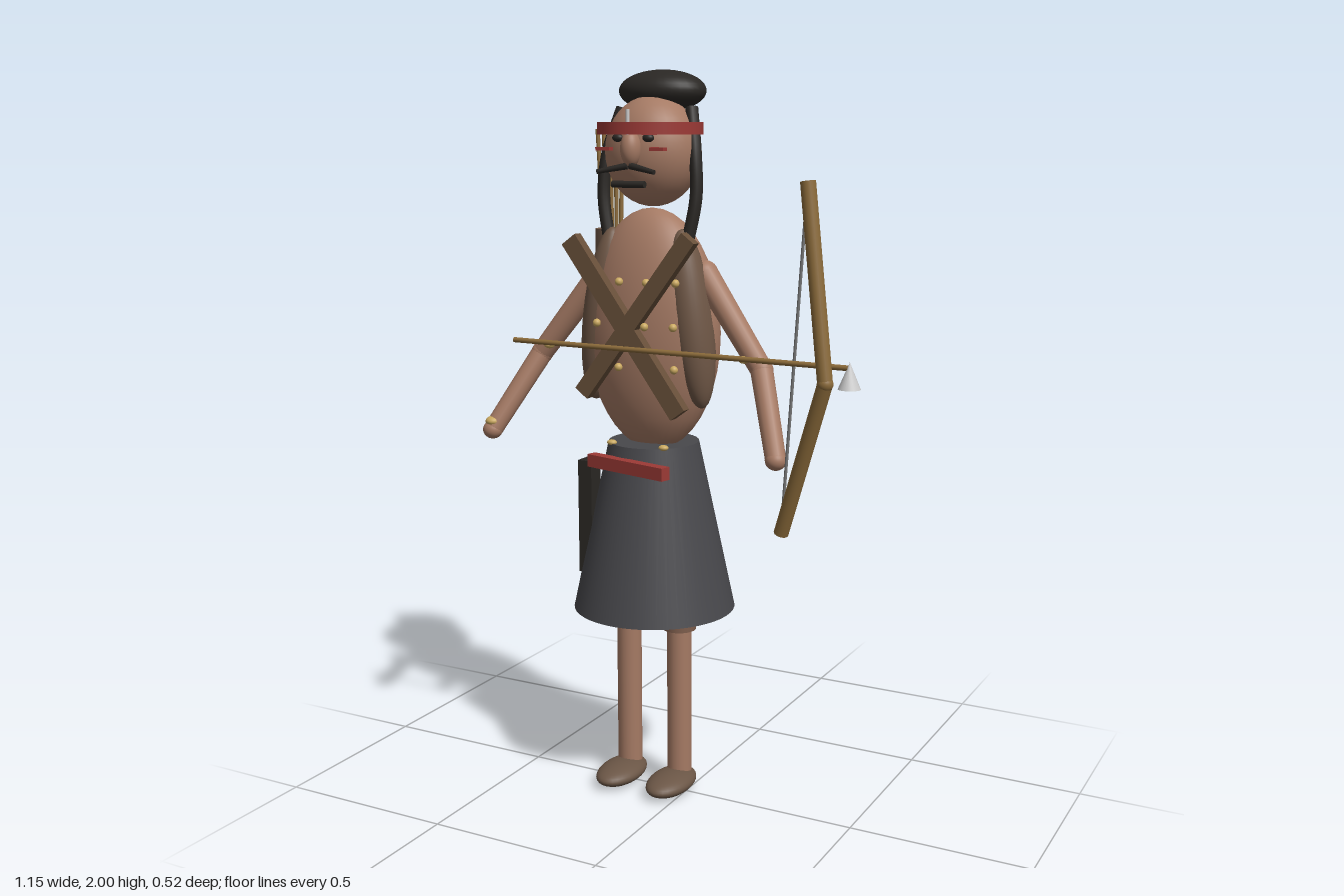
import * as THREE from 'three';

const C = {
  skin: 0xa57a64, knee: 0x7d5d4c, shoe: 0x6b5646, skirt: 0x48484c, red: 0x9c3a36, black: 0x2a2724,
  leather: 0x6f5746, belt: 0x69503a, wood: 0x8a6a3a, gold: 0xc9a860, steel: 0xcccccc, string: 0x777777,
};
const mats = {};
const mat = (c) => (mats[c] ??= new THREE.MeshStandardMaterial({ color: C[c] }));
const V = (p) => new THREE.Vector3(...p);

export function createModel() {
  const root = new THREE.Group();
  // The figure stands off-centre because the bow reaches out to its left
  const body = new THREE.Group();
  body.name = 'figure';
  body.position.x = -0.117;
  root.add(body);

  const add = (parent, name, geo, color, pos = [0, 0, 0], rot = [0, 0, 0]) => {
    const m = new THREE.Mesh(geo, mat(color));
    m.name = name;
    m.position.set(...pos);
    m.rotation.set(...rot);
    parent.add(m);
    return m;
  };
  const ball = (parent, name, color, pos, r, rot) =>
    add(parent, name, new THREE.SphereGeometry(1, 32, 20).scale(...r), color, pos, rot);
  const box = (parent, name, color, size, pos, rot) =>
    add(parent, name, new THREE.BoxGeometry(...size), color, pos, rot);
  // Round rod between two points
  const rod = (parent, name, color, a, b, r0, r1 = r0) => {
    const d = V(b).sub(V(a));
    const m = add(parent, name, new THREE.CylinderGeometry(r1, r0, d.length(), 20), color);
    m.position.copy(V(a)).addScaledVector(d, 0.5);
    m.quaternion.setFromUnitVectors(V([0, 1, 0]), d.normalize());
    return m;
  };

  // Torso and skirt
  ball(body, 'torso', 'skin', [0, 1.31, -0.03], [0.198, 0.33, 0.12]);
  add(body, 'skirt', new THREE.CylinderGeometry(0.125, 0.226, 0.475, 48), 'skirt', [0, 0.767, -0.032]);
  box(body, 'sash', 'red', [0.275, 0.035, 0.03], [0, 0.958, 0.115], [0, -0.24, 0]);
  box(body, 'sheath', 'black', [0.042, 0.32, 0.05], [-0.16, 0.79, 0.05]);

  // Crossed chest straps
  box(body, 'chestStrap', 'belt', [0.05, 0.555, 0.03], [-0.012, 1.335, 0.102], [0, 0, 0.63]);
  box(body, 'chestStrap', 'belt', [0.045, 0.535, 0.03], [0.02, 1.36, 0.102], [0, 0, -0.65]);

  // Chest buttons
  for (const y of [1.45, 1.335, 1.222])
    for (const x of [-0.116, -0.041, 0.041, 0.116]) {
      const z = 0.12 * Math.sqrt(1 - (x / 0.198) ** 2 - ((y - 1.31) / 0.33) ** 2) - 0.03;
      ball(body, 'button', 'gold', [x, y, z + 0.006], [0.011, 0.011, 0.011]);
    }

  // Head and face
  ball(body, 'head', 'skin', [0, 1.788, -0.035], [0.132, 0.145, 0.118]);
  ball(body, 'hairTop', 'black', [0, 1.945, -0.088], [0.124, 0.055, 0.089]);
  add(body, 'headband', new THREE.CylinderGeometry(0.141, 0.141, 0.032, 48), 'red', [0, 1.847, -0.02]);
  rod(body, 'headbandPin', 'steel', [0, 1.83, 0.1], [0, 1.895, 0.1], 0.005);
  ball(body, 'nose', 'skin', [0, 1.795, 0.085], [0.027, 0.046, 0.03]);
  rod(body, 'mouth', 'black', [-0.048, 1.705, 0.098], [0.048, 1.705, 0.098], 0.009);

  for (const s of [-1, 1]) {
    // Face details
    ball(body, 'eye', 'black', [s * 0.045, 1.823, 0.073], [0.016, 0.011, 0.012]);
    box(body, 'cheekStripe', 'red', [0.042, 0.009, 0.02], [s * 0.08, 1.795, 0.085]);
    rod(body, 'moustache', 'black', [s * 0.005, 1.752, 0.095], [s * 0.085, 1.737, 0.115], 0.009, 0.006);

    // Braid
    const path = new THREE.CatmullRomCurve3([
      [s * 0.105, 1.9, -0.055], [s * 0.133, 1.78, -0.022], [s * 0.14, 1.67, -0.012], [s * 0.118, 1.545, -0.003],
    ].map(V));
    add(body, 'braid', new THREE.TubeGeometry(path, 24, 0.017, 12), 'black');
    ball(body, 'braidEnd', 'black', [s * 0.118, 1.545, -0.003], [0.017, 0.017, 0.017]);

    // Vest panel
    ball(body, 'vestPanel', 'leather', [s * 0.135, 1.35, 0.0], [0.057, 0.24, 0.062], [0, 0, s * 0.13]);

    // Arm
    const shoulder = [s * 0.155, 1.47, -0.035];
    const elbow = [s * 0.34, 1.23, 0.0];
    const wrist = [s * 0.435, 1.02, 0.115];
    rod(body, 'upperArm', 'skin', shoulder, elbow, 0.036, 0.03);
    ball(body, 'shoulder', 'skin', shoulder, [0.036, 0.036, 0.036]);
    ball(body, 'elbow', 'skin', elbow, [0.031, 0.031, 0.031]);
    rod(body, 'forearm', 'skin', elbow, wrist, 0.03, 0.027);
    ball(body, 'hand', 'skin', wrist, [0.028, 0.026, 0.028]);
    ball(body, 'armStud', 'gold', [s * 0.3, 1.257, 0.025], [0.016, 0.01, 0.012]);

    // Leg
    rod(body, 'leg', 'skin', [s * 0.081, 0.04, -0.029], [s * 0.081, 0.53, -0.029], 0.035);
    rod(body, 'kneeCuff', 'knee', [s * 0.081, 0.472, -0.029], [s * 0.081, 0.56, -0.029], 0.047);
    ball(body, 'shoe', 'shoe', [s * 0.081, 0.03, 0.022], [0.061, 0.03, 0.102]);
    ball(body, 'waistStud', 'gold', [s * 0.08, 1.007, 0.06], [0.014, 0.008, 0.012]);
  }
  ball(body, 'handRing', 'gold', [-0.432, 1.045, 0.115], [0.022, 0.014, 0.024]);

  // Quiver with a fan of arrows
  rod(root, 'quiver', 'leather', [-0.309, 1.1, -0.148], [-0.309, 1.572, -0.148], 0.05);
  for (let i = -2; i <= 2; i++)
    rod(root, 'quiverArrow', 'wood', [-0.309 + i * 0.012, 1.45, -0.145], [-0.325 + i * 0.02, 1.845, -0.163], 0.006);

  // Bow, string and nocked arrow
  const tip = [0.43, 1.725, 0.2], grip = [0.5, 1.25, 0.24], foot = [0.362, 0.848, 0.175];
  rod(root, 'bowUpperLimb', 'wood', grip, tip, 0.019);
  rod(root, 'bowLowerLimb', 'wood', grip, foot, 0.019);
  ball(root, 'bowGrip', 'wood', grip, [0.02, 0.02, 0.02]);
  rod(root, 'bowString', 'string', tip, foot, 0.004);
  rod(root, 'arrowShaft', 'wood', [-0.435, 1.288, 0.17], [0.54, 1.285, 0.193], 0.007);
  add(root, 'arrowHead', new THREE.ConeGeometry(0.028, 0.066, 24), 'steel', [0.544, 1.267, 0.194]);

  return root;
}
